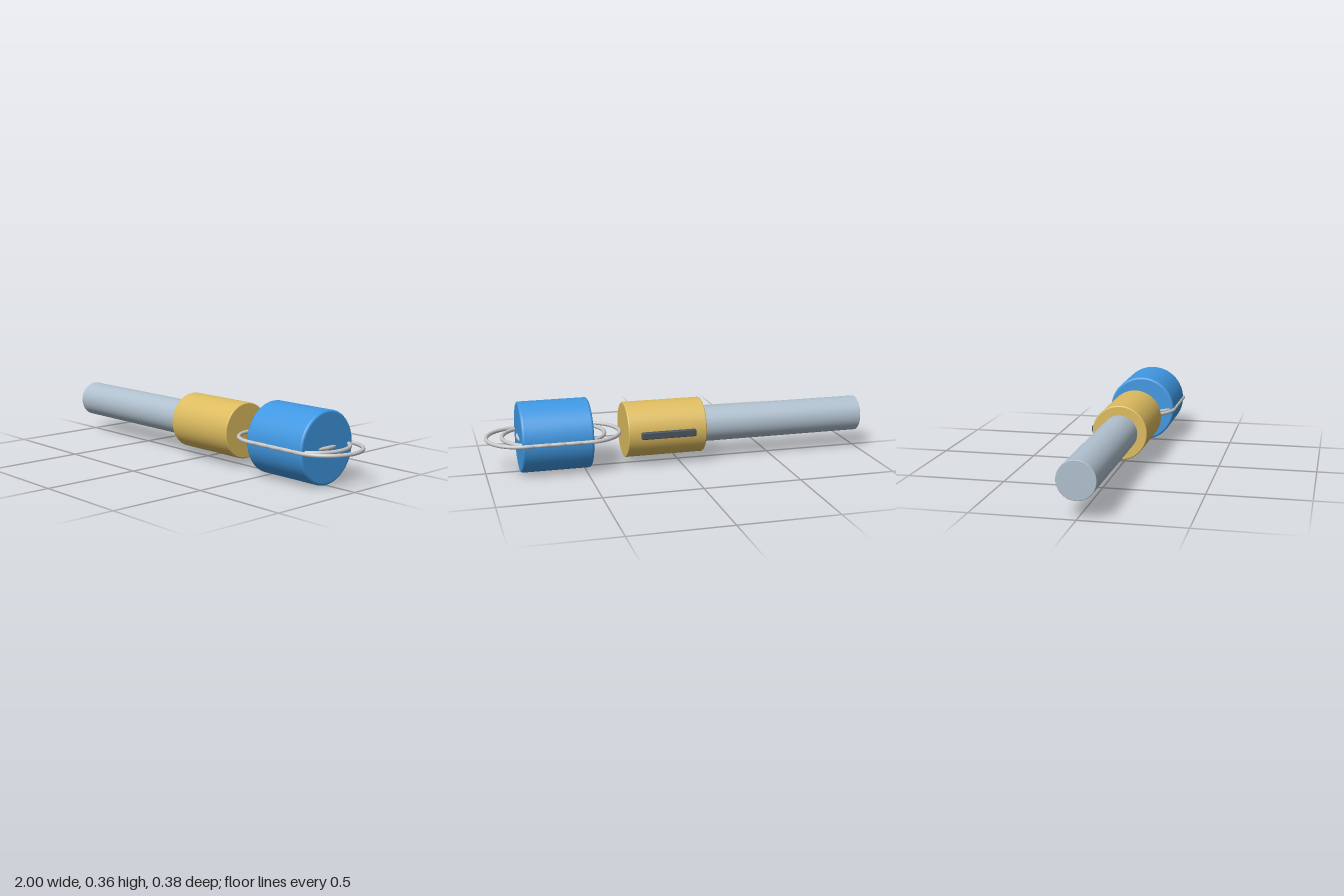
import * as THREE from 'three';
import { RoundedBoxGeometry } from 'three/addons/geometries/RoundedBoxGeometry.js';

const AXIS_Y = 0.181;

function material(name, color) {
  const m = new THREE.MeshStandardMaterial({ color });
  m.name = name;
  return m;
}

// Solid cylinder along x from x0 to x1 with rounded rims.
function roundedRod(x0, x1, radius, bevel) {
  const pts = [new THREE.Vector2(0, x0)];
  const steps = 4;
  const corner = (cx, start) => {
    for (let i = 0; i <= steps; i++) {
      const a = start + (i / steps) * Math.PI / 2;
      const p = new THREE.Vector2(radius - bevel + bevel * Math.cos(a), cx + bevel * Math.sin(a));
      pts.push(p);
      // doubled end points keep the caps and the wall crisp
      if (i === 0 || i === steps) pts.push(p.clone());
    }
  };
  corner(x0 + bevel, -Math.PI / 2);
  corner(x1 - bevel, 0);
  pts.push(new THREE.Vector2(0, x1));
  return new THREE.LatheGeometry(pts, 64).rotateZ(-Math.PI / 2);
}

export function createModel() {
  const group = new THREE.Group();
  const steel = material('steel grey', 0xb0c0ce);
  const brass = material('brass yellow', 0xddbc60);
  const blue = material('blue', 0x4098e2);
  const wire = material('wire silver', 0xc8c8c8);
  const dark = material('dark grey', 0x4a545e);

  const add = (name, geometry, mat, x = 0, z = 0) => {
    const mesh = new THREE.Mesh(geometry, mat);
    mesh.name = name;
    mesh.position.set(x, AXIS_Y, z);
    group.add(mesh);
    return mesh;
  };

  // Shaft, collar and head share one axis
  add('shaft', roundedRod(-1, -0.1, 0.093, 0.003), steel);
  add('collar', roundedRod(-0.122, 0.29, 0.143, 0.006), brass);
  add('head', roundedRod(0.472, 0.83, 0.18, 0.011), blue);

  // Key bar on the back of the collar
  add('keyBar', new RoundedBoxGeometry(0.285, 0.036, 0.036, 2, 0.005), dark, 0.083, -0.143);

  // Row of overlapping wire rings around the head
  const ring = new THREE.TorusGeometry(0.18, 0.01, 12, 72).rotateX(Math.PI / 2);
  for (let i = 0; i < 5; i++) add('wireRing' + (i + 1), ring, wire, 0.492 + i * 0.0795);

  return group;
}
